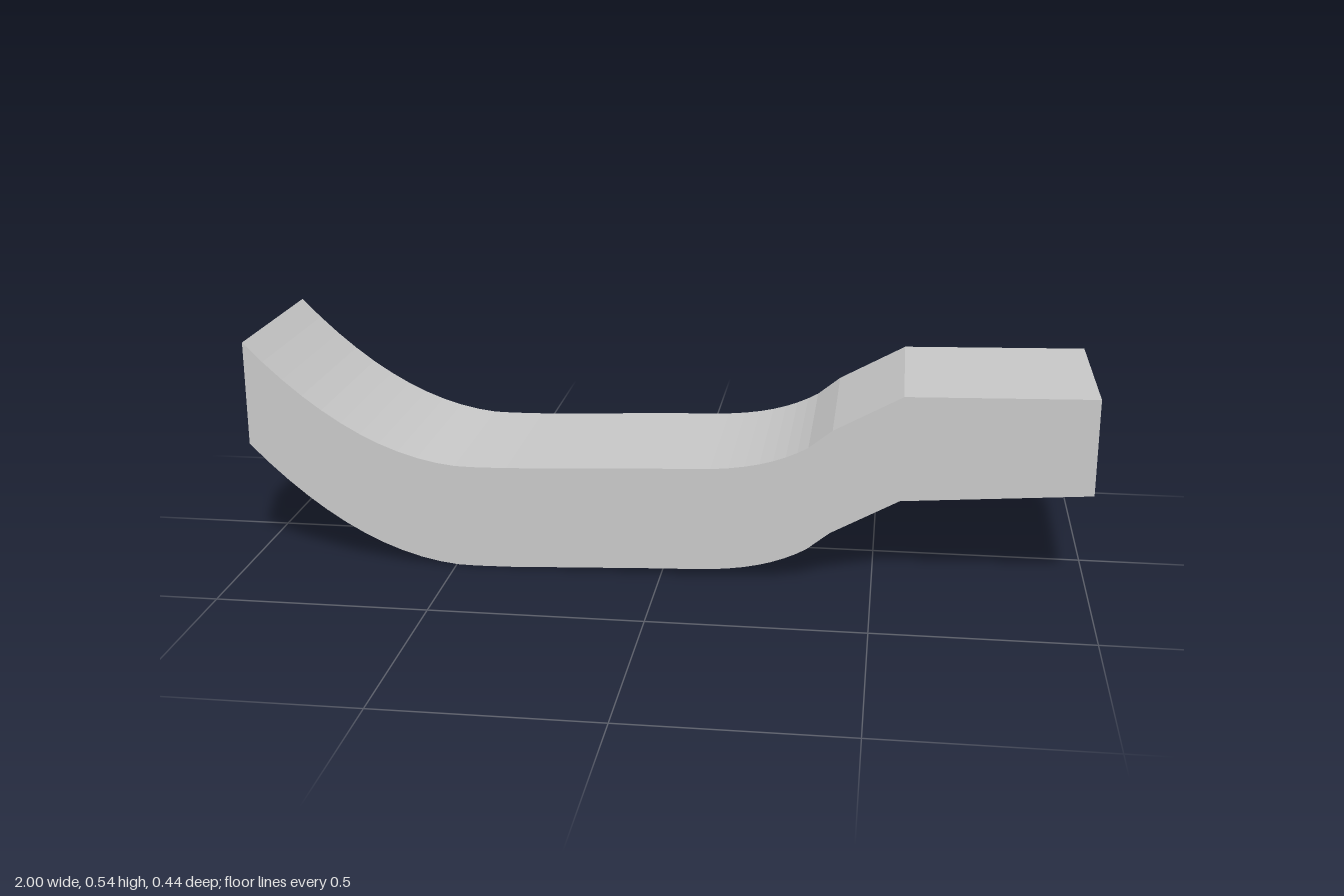
import * as THREE from 'three';

const HALF_WIDTH = 0.222;
const HEIGHT = 0.252;

// Lower edge of the duct from the raised end to the flat end
function floorProfile() {
  const points = [];
  // Raised end: parabolic sweep down to the low straight run
  for (let i = 0; i < 12; i++) {
    const t = 1 - i / 12;
    points.push([-0.45 - 0.55 * t, 0.289 * t * t]);
  }
  points.push([-0.45, 0.001], [-0.37, 0.002], [0, 0.017]);
  // Bend up into the ramp
  const bend = new THREE.CubicBezierCurve(
    new THREE.Vector2(0.07, 0.019), new THREE.Vector2(0.2, 0.022),
    new THREE.Vector2(0.28, 0.045), new THREE.Vector2(0.345, 0.083));
  bend.getPoints(8).forEach((p) => points.push([p.x, p.y]));
  // Ramp and flat end
  points.push([0.4, 0.127], [0.56, 0.214], [1, 0.246]);
  return points;
}

// Sheet spanned between two rails of equal length
function panel(name, railA, railB, material) {
  const positions = [];
  for (let i = 0; i < railA.length - 1; i++) {
    const [a, b, c, d] = [railA[i], railA[i + 1], railB[i + 1], railB[i]];
    for (const p of [a, b, c, a, c, d]) positions.push(...p);
  }
  const geometry = new THREE.BufferGeometry();
  geometry.setAttribute('position', new THREE.Float32BufferAttribute(positions, 3));
  geometry.computeVertexNormals();
  const mesh = new THREE.Mesh(geometry, material);
  mesh.name = name;
  return mesh;
}

export function createModel() {
  const group = new THREE.Group();
  group.name = 'curvedDuct';
  const material = new THREE.MeshStandardMaterial({
    color: 0xcccccc, flatShading: true, side: THREE.DoubleSide,
  });

  const low = floorProfile();
  // The flat end tapers slightly
  const high = low.map(([x, y]) => [x, x === 1 ? 0.476 : y + HEIGHT]);
  const rail = (profile, z) => profile.map(([x, y]) => [x, y, z]);
  const lowFront = rail(low, HALF_WIDTH);
  const lowBack = rail(low, -HALF_WIDTH);
  const highFront = rail(high, HALF_WIDTH);
  const highBack = rail(high, -HALF_WIDTH);

  // Four thin walls, open at both ends
  group.add(
    panel('topWall', highFront, highBack, material),
    panel('bottomWall', lowBack, lowFront, material),
    panel('frontWall', lowFront, highFront, material),
    panel('backWall', highBack, lowBack, material),
  );
  return group;
}
